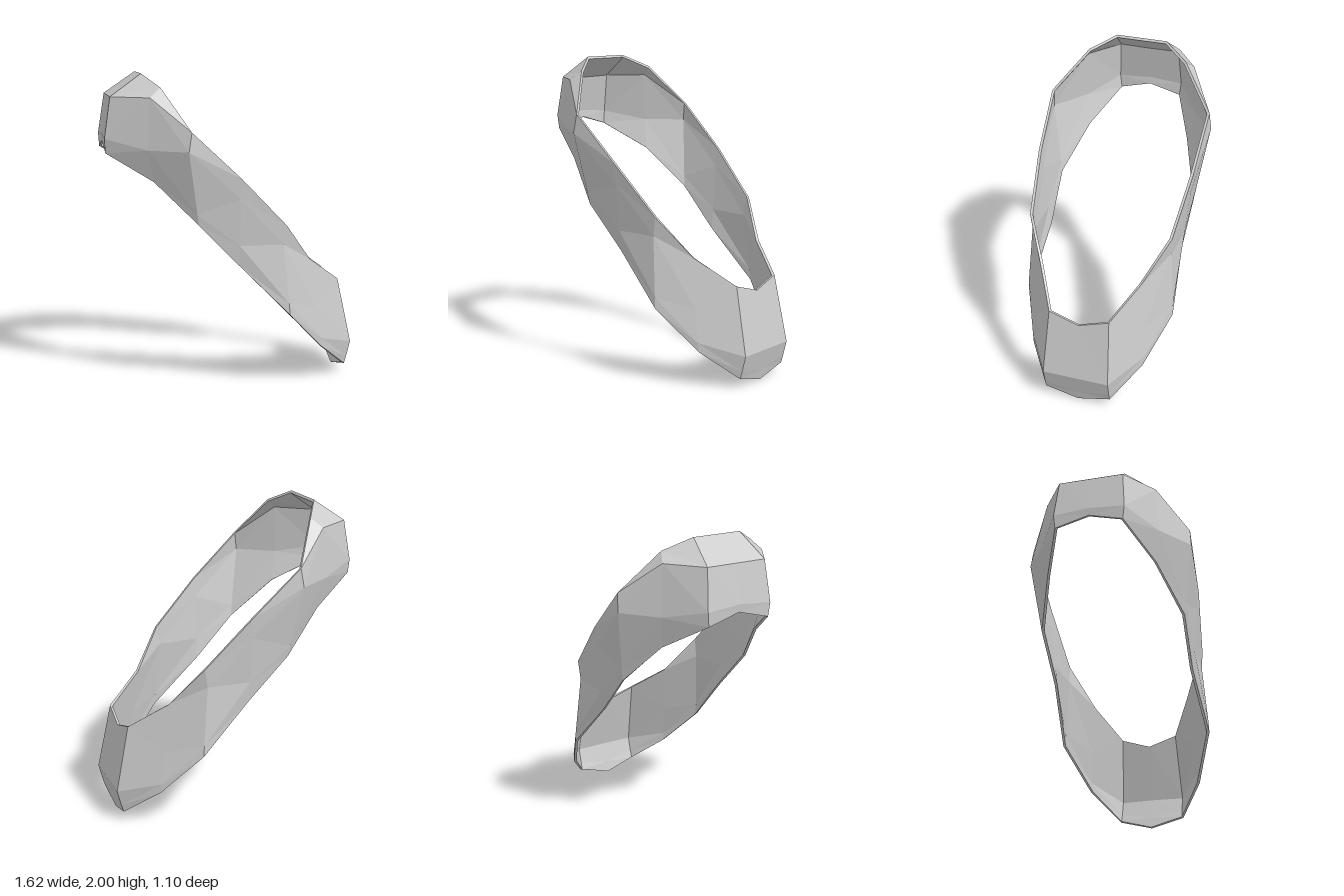
import * as THREE from 'three';

// Cross-sections of one half of the belt, from the raised back to the low front.
// Each lists four outer points [x, y, z]: upper rim, upper ridge, lower ridge, lower rim.
const HALF = [
  [[-0.57, 2.0, 0], [-0.77, 1.86, 0], [-0.81, 1.62, 0], [-0.805, 1.57, 0]],
  [[-0.57, 2.0, 0.17], [-0.77, 1.86, 0.21], [-0.81, 1.6, 0.23], [-0.805, 1.51, 0.22]],
  [[-0.47, 1.92, 0.33], [-0.54, 1.86, 0.37], [-0.56, 1.54, 0.39], [-0.52, 1.34, 0.36]],
  [[-0.31, 1.66, 0.54], [-0.33, 1.54, 0.55], [-0.27, 1.15, 0.49], [-0.26, 1.08, 0.48]],
  [[0, 1.37, 0.525], [0, 1.24, 0.513], [0, 0.94, 0.485], [0, 0.81, 0.47]],
  [[0.3, 1.06, 0.48], [0.28, 0.94, 0.475], [0.315, 0.56, 0.502], [0.32, 0.49, 0.505]],
  [[0.49, 0.81, 0.34], [0.53, 0.5, 0.37], [0.565, 0.29, 0.385], [0.57, 0.23, 0.38]],
  [[0.72, 0.64, 0.2], [0.81, 0.21, 0.22], [0.785, 0.11, 0.22], [0.77, 0.06, 0.22]],
  [[0.73, 0.58, 0], [0.81, 0.21, 0], [0.775, 0.07, 0], [0.76, 0, 0]],
];
const THICKNESS = 0.018;

function createBeltGeometry() {
  // Mirror the half across z to close the ring
  const last = HALF.length - 1;
  const mirrored = HALF.slice(1, last).reverse().map(s => s.map(([x, y, z]) => [x, y, -z]));
  const ring = [...HALF, ...mirrored];
  const n = ring.length, rows = 4;
  const outer = ring.flat(2);
  const at = (i, r) => (i % n) * rows + r;

  // Outer skin, with diagonals mirrored between the halves
  const skin = [];
  for (let i = 0; i < n; i++) {
    for (let r = 0; r < rows - 1; r++) {
      const a = at(i, r), b = at(i, r + 1), c = at(i + 1, r + 1), d = at(i + 1, r);
      if (i < last) skin.push(a, b, d, b, c, d);
      else skin.push(a, b, c, a, c, d);
    }
  }

  // Inner skin: offset inward along the averaged normals
  const shell = new THREE.BufferGeometry();
  shell.setAttribute('position', new THREE.Float32BufferAttribute(outer, 3));
  shell.setIndex(skin);
  shell.computeVertexNormals();
  const normals = shell.attributes.normal.array;
  const inner = outer.map((v, k) => v - normals[k] * THICKNESS);
  const off = n * rows;
  const index = [...skin];
  for (let k = 0; k < skin.length; k += 3) {
    index.push(skin[k] + off, skin[k + 2] + off, skin[k + 1] + off);
  }

  // Upper and lower rims join the two skins
  for (let i = 0; i < n; i++) {
    const t0 = at(i, 0), t1 = at(i + 1, 0);
    const b0 = at(i, rows - 1), b1 = at(i + 1, rows - 1);
    index.push(t0, t1, t1 + off, t0, t1 + off, t0 + off);
    index.push(b0, b1 + off, b1, b0, b0 + off, b1 + off);
  }

  const geometry = new THREE.BufferGeometry();
  geometry.setAttribute('position', new THREE.Float32BufferAttribute([...outer, ...inner], 3));
  geometry.setIndex(index);
  const faceted = geometry.toNonIndexed();
  faceted.computeVertexNormals();
  return faceted;
}

export function createModel() {
  const group = new THREE.Group();
  group.name = 'slantedBelt';
  const material = new THREE.MeshStandardMaterial({
    color: 0xcccccc, flatShading: true, side: THREE.DoubleSide,
  });
  const belt = new THREE.Mesh(createBeltGeometry(), material);
  belt.name = 'beltBand';
  group.add(belt);
  return group;
}
